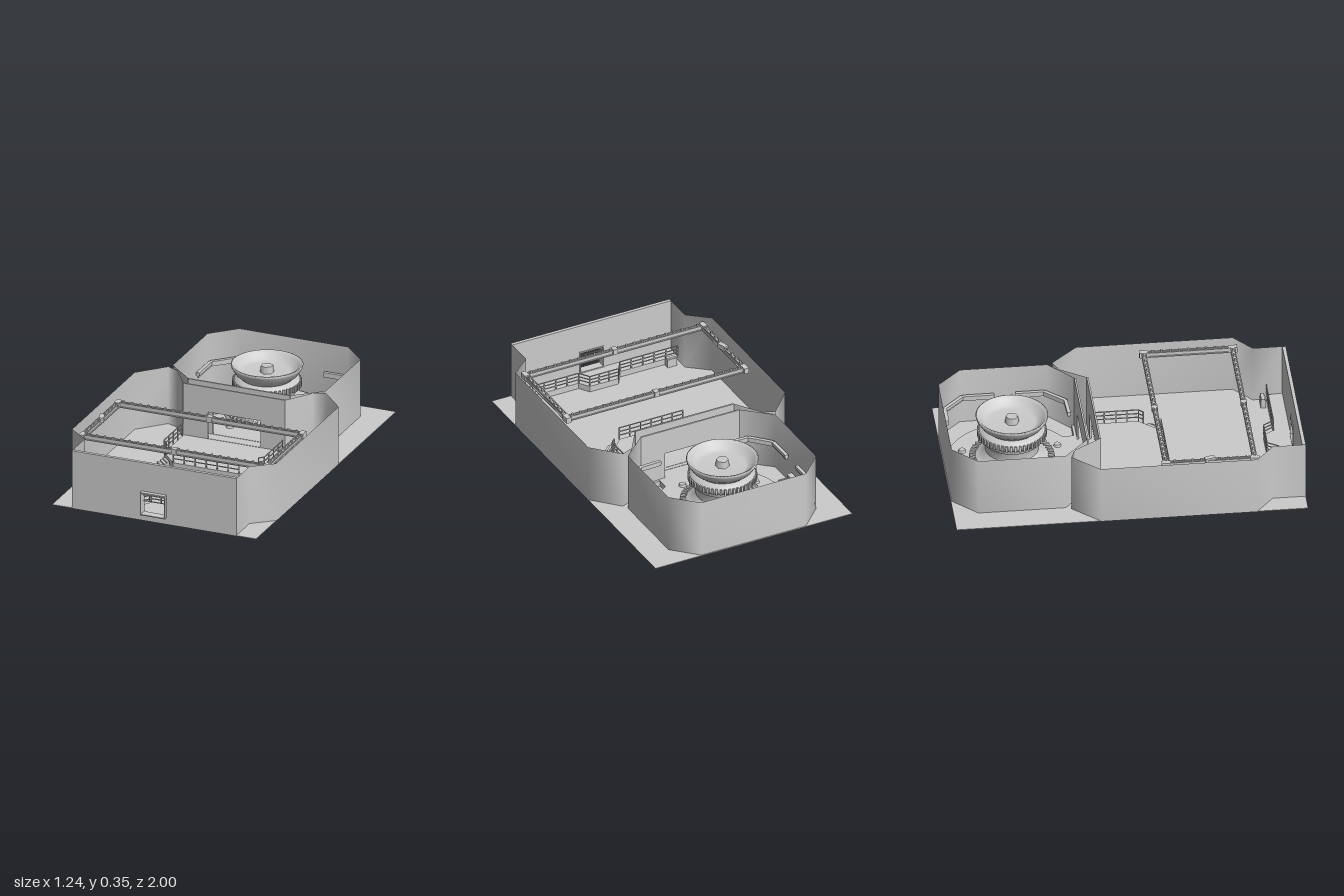
import * as THREE from 'three';

const grey = new THREE.MeshStandardMaterial({ color: 0xcccccc });
const thin = new THREE.MeshStandardMaterial({ color: 0xcccccc, side: THREE.DoubleSide });

export function createModel() {
  const model = new THREE.Group();

  function add(name, geometry, x = 0, y = 0, z = 0, parent = model, material = grey) {
    const mesh = new THREE.Mesh(geometry, material);
    mesh.name = name;
    mesh.position.set(x, y, z);
    parent.add(mesh);
    return mesh;
  }
  const box = (name, w, h, d, x, y, z, parent) => add(name, new THREE.BoxGeometry(w, h, d), x, y, z, parent);
  function group(name) {
    const g = new THREE.Group();
    g.name = name;
    model.add(g);
    return g;
  }
  // Square bar between two points of the plan at height y
  function bar(name, a, b, y, w, h, parent) {
    const dx = b[0] - a[0], dz = b[1] - a[1];
    const m = box(name, Math.hypot(dx, dz), h, w, (a[0] + b[0]) / 2, y, (a[1] + b[1]) / 2, parent);
    m.rotation.y = -Math.atan2(dz, dx);
  }
  const mirror = (points) => points.map(([x, z]) => [-x, z]);
  // Upright sheet following a plan outline, shaded smoothly round its bends
  function wall(name, points, y0, y1) {
    const position = [], index = [];
    points.forEach(([x, z], i) => {
      position.push(x, y0, z, x, y1, z);
      if (i) index.push(2 * i - 2, 2 * i, 2 * i - 1, 2 * i, 2 * i + 1, 2 * i - 1);
    });
    const g = new THREE.BufferGeometry();
    g.setAttribute('position', new THREE.Float32BufferAttribute(position, 3));
    g.setIndex(index);
    g.computeVertexNormals();
    add(name, g, 0, 0, 0, model, thin);
  }
  // Flat slab extruded from a plan outline
  function slab(name, points, y0, y1) {
    const shape = new THREE.Shape(points.map(([x, z]) => new THREE.Vector2(x, -z)));
    const g = new THREE.ExtrudeGeometry(shape, { depth: y1 - y0, bevelEnabled: false });
    add(name, g.rotateX(-Math.PI / 2), 0, y0, 0);
  }
  // Front-facing wall with a rectangular opening
  function openWall(name, halfW, y0, y1, doorHalf, doorTop, z, depth) {
    const shape = new THREE.Shape();
    shape.moveTo(-halfW, y0).lineTo(halfW, y0).lineTo(halfW, y1).lineTo(-halfW, y1);
    const hole = new THREE.Path();
    hole.moveTo(-doorHalf, 0.04).lineTo(-doorHalf, doorTop).lineTo(doorHalf, doorTop).lineTo(doorHalf, 0.04);
    shape.holes.push(hole);
    add(name, new THREE.ExtrudeGeometry(shape, { depth, bevelEnabled: false }), 0, 0, z);
  }
  // Railing with posts and three bars
  function railing(name, points, y0, h) {
    const g = group(name);
    for (let i = 1; i < points.length; i++) {
      const a = points[i - 1], b = points[i];
      const n = Math.max(1, Math.round(Math.hypot(b[0] - a[0], b[1] - a[1]) / 0.07));
      for (const f of [0.35, 0.67, 1]) bar('railBar', a, b, y0 + h * f, 0.005, 0.005, g);
      for (let k = 0; k <= n; k++) {
        const t = k / n;
        box('railPost', 0.006, h, 0.006, a[0] + (b[0] - a[0]) * t, y0 + h / 2, a[1] + (b[1] - a[1]) * t, g);
      }
    }
  }

  const H = 0.35;
  box('ground', 1.24, 0.004, 1.975, 0, 0.002, -0.0125);

  // Front hall walls
  const hallSide = [[0.5, 0.96], [0.5, 0.79], [0.62, 0.69], [0.62, -0.19], [0.48, -0.34], [0.41, -0.31], [0.31, -0.16]];
  wall('hallWallLeft', hallSide, 0, H);
  wall('hallWallRight', mirror(hallSide).reverse(), 0, H);
  openWall('frontWall', 0.5, 0.04, H, 0.073, 0.178, 0.955, 0.02);
  box('frontSill', 1, 0.04, 0.02, 0, 0.02, 0.965);
  openWall('hallBackWall', 0.31, 0, H, 0.16, 0.2, -0.165, 0.01);

  // Round chamber walls
  const chamberSide = [[0.31, -0.23], [0.465, -0.37], [0.465, -0.86], [0.33, -0.995]];
  wall('chamberWall', [...chamberSide, ...mirror(chamberSide).reverse()], 0, H);
  openWall('chamberFrontWall', 0.31, 0, H, 0.16, 0.2, -0.235, 0.01);
  box('passageFloor', 0.62, 0.036, 0.11, 0, 0.02, -0.195);

  // Window frame standing proud of the front wall
  const frame = group('windowFrame');
  for (const s of [-1, 1]) box('frameSide', 0.006, 0.138, 0.05, s * 0.073, 0.109, 0.975, frame);
  box('frameTop', 0.152, 0.008, 0.05, 0, 0.174, 0.975, frame);
  box('frameBottom', 0.152, 0.006, 0.05, 0, 0.043, 0.975, frame);
  for (const y of [0.115, 0.15]) box('frameBar', 0.146, 0.004, 0.006, 0, y, 0.96, frame);
  for (const x of [-0.035, 0.035]) box('frameUpright', 0.004, 0.035, 0.006, x, 0.1325, 0.96, frame);

  // Front balcony
  const balconyEdge = [[-0.49, 0.865], [-0.13, 0.865], [-0.09, 0.805], [0.09, 0.805], [0.13, 0.865], [0.49, 0.865]];
  slab('frontBalcony', [[-0.495, 0.955], ...balconyEdge, [0.495, 0.955]].reverse(), 0.004, 0.04);
  railing('balconyRailing', balconyEdge, 0.04, 0.065);
  for (const s of [-1, 1]) {
    box('console', 0.06, 0.05, 0.03, s * 0.44, 0.03, 0.84);
    box('consoleTop', 0.066, 0.01, 0.02, s * 0.44, 0.06, 0.838);
  }

  // Rear terrace with railings and steps
  const terraceSide = [[0.305, -0.14], [0.305, 0.125], [0.2, 0.24]];
  slab('terrace', [...terraceSide, ...mirror(terraceSide).reverse()].reverse(), 0.004, 0.04);
  railing('terraceRailingFront', [[-0.2, 0.24], [0.2, 0.24]], 0.04, 0.075);
  for (const s of [-1, 1]) {
    railing('terraceRailingSide', [[s * 0.305, -0.13], [s * 0.305, 0.125], [s * 0.28, 0.15]], 0.04, 0.075);
    for (let i = 0; i < 3; i++) {
      const step = box('step', 0.07, 0.03 - i * 0.009, 0.016, s * (0.262 + i * 0.011), 0.017 - i * 0.0045, 0.198 + i * 0.011);
      step.rotation.y = s * Math.PI / 4;
    }
  }

  // Overhead lighting frame
  const rig = group('lightingFrame');
  for (const z of [0.183, 0.683]) {
    for (const dz of [-0.01, 0.01]) for (const y of [0.302, 0.326])
      box('chord', 1.14, 0.006, 0.006, 0, y, z + dz, rig);
    box('beamCore', 1.12, 0.018, 0.014, 0, 0.314, z, rig);
    for (let i = 0; i < 22; i++) box('lamp', 0.012, 0.012, 0.012, -0.525 + i * 0.05, 0.332, z, rig);
    for (const x of [-0.56, 0.56]) box('cornerBlock', 0.03, 0.034, 0.05, x, 0.314, z, rig);
    box('centreClamp', 0.03, 0.03, 0.035, 0, 0.32, z, rig);
  }
  for (const x of [-0.558, 0.558]) {
    for (const dx of [-0.01, 0.01]) for (const y of [0.302, 0.326])
      box('chord', 0.006, 0.006, 0.5, x + dx, y, 0.433, rig);
    box('beamCore', 0.014, 0.018, 0.5, x, 0.314, 0.433, rig);
    for (let i = 0; i < 9; i++) box('lamp', 0.012, 0.012, 0.012, x, 0.332, 0.233 + i * 0.05, rig);
  }
  box('spotlight', 0.028, 0.03, 0.06, -0.552, 0.325, 0.43, rig).rotation.y = 0.3;

  // Round dais and central pedestal with its bowl
  const core = group('pedestal');
  core.position.set(0, 0, -0.62);
  add('dais', new THREE.CylinderGeometry(0.365, 0.365, 0.036, 64), 0, 0.022, 0, core);
  box('daisApron', 0.4, 0.036, 0.14, 0, 0.022, 0.315, core);
  const turned = (name, pts) =>
    add(name, new THREE.LatheGeometry(pts.map(([r, y]) => new THREE.Vector2(r, y)), 64), 0, 0, 0, core, thin);
  turned('pedestalBase', [[0.24, 0.04], [0.24, 0.06], [0.2, 0.07], [0.17, 0.09], [0.15, 0.12]]);
  turned('pedestalColumn', [[0.15, 0.12], [0.15, 0.17], [0.165, 0.18], [0.165, 0.21]]);
  turned('collar', [[0.14, 0.21], [0.185, 0.21], [0.185, 0.25], [0.14, 0.26]]);
  turned('bowl', [[0.14, 0.255], [0.175, 0.285], [0.2, 0.325], [0.203, 0.338], [0.195, 0.342], [0.18, 0.325], [0.155, 0.3], [0.13, 0.29], [0, 0.29]]);
  add('hub', new THREE.CylinderGeometry(0.035, 0.04, 0.04, 6).toNonIndexed(), 0, 0.31, 0, core);
  for (let i = 0; i < 48; i++) {
    const a = (i / 48) * Math.PI * 2;
    const vent = box('vent', 0.035, 0.02, 0.012, Math.cos(a) * 0.22, 0.066, Math.sin(a) * 0.22, core);
    const tooth = box('tooth', 0.016, 0.036, 0.012, Math.cos(a) * 0.187, 0.23, Math.sin(a) * 0.187, core);
    vent.rotation.y = tooth.rotation.y = -a;
  }
  for (let i = 0; i < 8; i++) {
    const a = ((i + 0.5) / 8) * Math.PI * 2;
    add('floorLight', new THREE.CylinderGeometry(0.018, 0.022, 0.014, 16), Math.cos(a) * 0.29, 0.046, Math.sin(a) * 0.29, core);
  }

  // Wall ducts and side prongs round the chamber
  const ducts = group('wallDucts');
  const runs = [
    [[0.442, -0.67], [0.442, -0.85], [0.33, -0.96], [0.2, -0.96]],
    [[0.442, -0.55], [0.442, -0.39], [0.34, -0.28], [0.21, -0.275]],
  ];
  for (const run of [...runs, ...runs.map(mirror)]) {
    for (let i = 1; i < run.length; i++) {
      bar('duct', run[i - 1], run[i], 0.18, 0.02, 0.02, ducts);
      bar('ductLip', run[i - 1], run[i], 0.165, 0.01, 0.012, ducts);
    }
  }
  for (const s of [-1, 1]) {
    for (const z of [-0.64, -0.62, -0.6]) box('prong', 0.065, 0.01, 0.008, s * 0.395, 0.07, z, ducts);
    box('prongMount', 0.03, 0.05, 0.07, s * 0.44, 0.065, -0.62, ducts);
  }
  return model;
}
